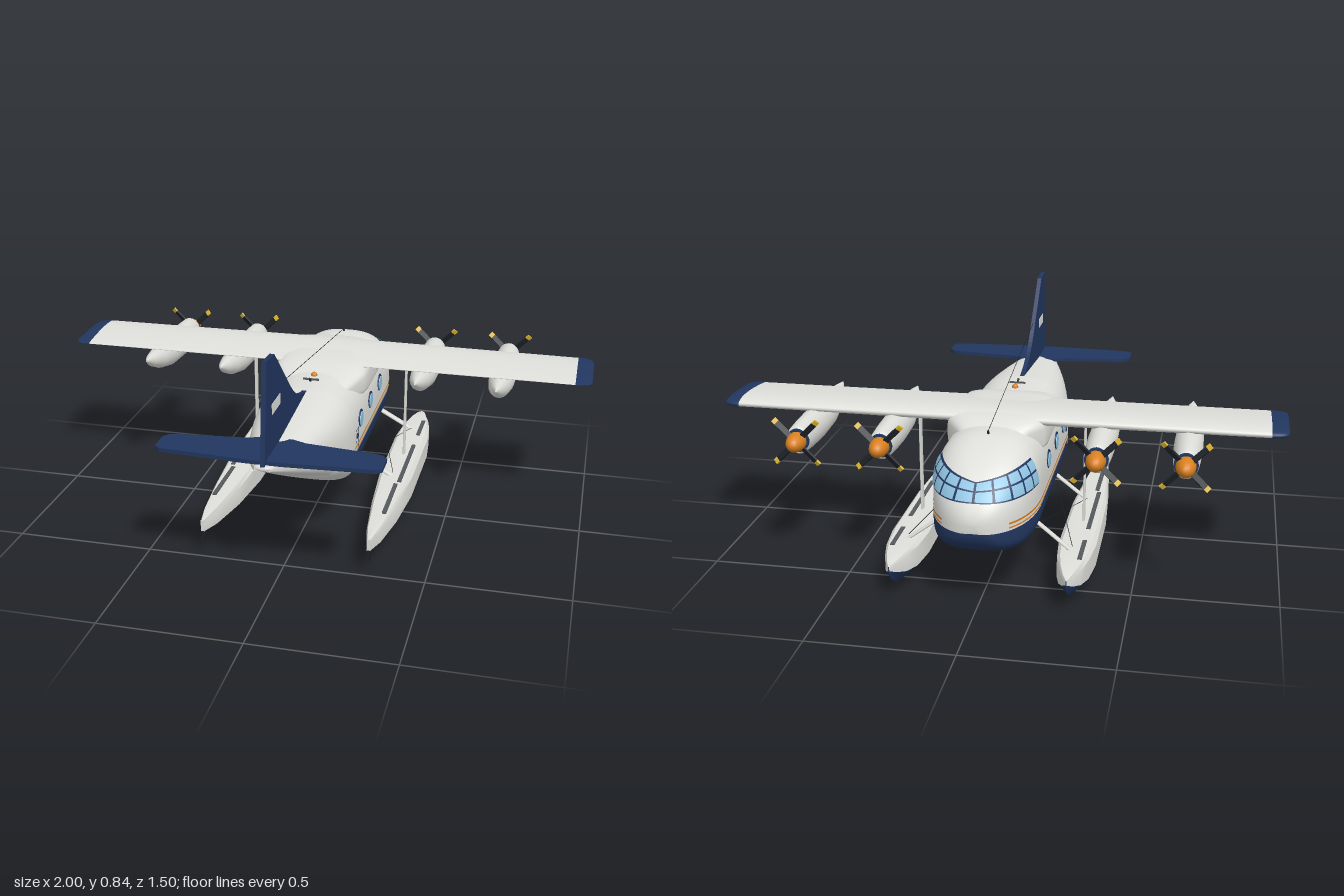
import * as THREE from 'three';
import { mergeVertices, toCreasedNormals } from 'three/addons/utils/BufferGeometryUtils.js';

const mat = (name, color) => new THREE.MeshStandardMaterial({ name, color, side: THREE.DoubleSide });
const M = {
  white: mat('off white', 0xdededa), navy: mat('navy', 0x22365f), orange: mat('orange', 0xd9801f),
  glass: mat('window blue', 0x8fc3e0), black: mat('black', 0x1c2026), yellow: mat('yellow', 0xe0b830),
  grey: mat('deck grey', 0x55585c),
};
const lerp = (a, b, t) => a + (b - a) * t;
const clamp = THREE.MathUtils.clamp;

// Surface from fn(u, v) -> [x, y, z], u and v in 0..1
function grid(fn, nu, nv, crease) {
  const pos = [], idx = [];
  for (let i = 0; i <= nu; i++) for (let j = 0; j <= nv; j++) pos.push(...fn(i / nu, j / nv));
  for (let i = 0; i < nu; i++) for (let j = 0; j < nv; j++) {
    const a = i * (nv + 1) + j, b = a + nv + 1;
    idx.push(a, b, a + 1, b, b + 1, a + 1);
  }
  let g = new THREE.BufferGeometry();
  g.setAttribute('position', new THREE.Float32BufferAttribute(pos, 3));
  g.setIndex(idx);
  g = mergeVertices(g, 1e-5);
  if (crease) return toCreasedNormals(g, crease);
  g.computeVertexNormals();
  return g;
}
// Rings along z; stations are [z, centreY, radiusX, radiusY], power < 1 squares the section
function loft(stations, power = 1, seg = 24) {
  const n = stations.length - 1, p = (c) => Math.sign(c) * Math.abs(c) ** power;
  return grid((u, v) => {
    const [z, yc, rx, ry] = stations[Math.round(u * n)], a = v * Math.PI * 2;
    return [rx * p(Math.cos(a)), yc - ry * p(Math.sin(a)), z];
  }, n, seg);
}
function add(parent, name, geo, material, x = 0, y = 0, z = 0) {
  const m = new THREE.Mesh(geo, material);
  m.name = name;
  m.position.set(x, y, z);
  parent.add(m);
  return m;
}
function rod(parent, name, a, b, r, material, flat = 1) {
  const A = new THREE.Vector3(...a), B = new THREE.Vector3(...b), d = B.clone().sub(A);
  const m = add(parent, name, new THREE.CylinderGeometry(r, r, d.length(), 8), material);
  m.position.copy(A).lerp(B, 0.5);
  m.quaternion.setFromUnitVectors(new THREE.Vector3(0, 1, 0), d.normalize());
  m.scale.z = flat;
  return m;
}

// Fuselage outline: bottom, top and half width at z, then half width at height y
const round = (u, p) => (1 - (1 - clamp(u, 0, 1)) ** p) ** (1 / p);
function station(z) {
  const s = clamp((z - 0.18) / 0.57, 0, 1), d = z + 0.75;
  return {
    yb: 0.33 - 0.14 * round(d / 0.22, 2.5) + 0.295 * s,
    yt: 0.33 + 0.218 * round(d / 0.3, 1.65) - 0.046 * s,
    hw: 0.182 * round(d / 0.3, 2.2) * (1 - 0.85 * s ** 1.5),
  };
}
function section(t) {
  if (t < 0.3) return (1 - ((0.3 - t) / 0.3) ** 3.2) ** (1 / 3.2);
  if (t > 0.45) return (1 - ((t - 0.45) / 0.55) ** 2.7) ** (1 / 2.7);
  return 1;
}
function halfWidth(z, y) {
  const { yb, yt, hw } = station(z);
  return y <= yb || y >= yt ? 0 : hw * section((y - yb) / (yt - yb));
}
function hull(z0, z1, split, upper, ease, n) {
  return grid((u, v) => {
    const z = lerp(z0, z1, u ** ease), { yb, yt, hw } = station(z), h = yt - yb;
    const ts = h < 1e-6 ? 0.5 : clamp((split - yb) / h, 0, 1);
    const k = v * 2 - 1, e = Math.abs(k) ** 2.2;
    const t = upper ? 1 - (1 - ts) * e : ts * e;
    return [(upper ? 1 : -1) * Math.sign(k) * hw * section(clamp(t, 0, 1)), yb + h * t, z];
  }, n, 40);
}

function fuselage(root) {
  const g = new THREE.Group();
  g.name = 'fuselage';
  root.add(g);
  add(g, 'upperBody', hull(-0.75, 0.18, 0.3, true, 2, 48), M.white);
  add(g, 'belly', hull(-0.75, 0.18, 0.3, false, 2, 48), M.navy);
  add(g, 'tailConeTop', hull(0.18, 0.75, 0.3, true, 1, 16), M.white);
  add(g, 'tailConeBottom', hull(0.18, 0.75, 0.3, false, 1, 16), M.white);
  add(g, 'tailEnd', new THREE.SphereGeometry(1, 12, 8), M.white, 0, 0.493, 0.745).scale.set(0.025, 0.009, 0.006);
  add(g, 'wingFairing', loft([[-0.43, 0.5, 0.09, 0.02], [-0.39, 0.5, 0.13, 0.054], [-0.34, 0.5, 0.172, 0.07],
    [-0.29, 0.5, 0.18, 0.074], [-0.1, 0.5, 0.18, 0.072], [-0.03, 0.5, 0.175, 0.06], [0.08, 0.49, 0.13, 0.04]], 0.5, 40), M.white);

  // Wrap-around cockpit glazing
  const glaze = (a0, a1, r0, r1, off) => grid((u, v) => {
    const a = lerp(a0, a1, u), y = 0.397 + lerp(r0, r1, v) * (0.055 + 0.033 * Math.abs(Math.sin(a)));
    let lo = 0, hi = 0.4;
    for (let i = 0; i < 22; i++) {
      const r = (lo + hi) / 2;
      if (Math.abs(r * Math.sin(a)) < halfWidth(-0.5 - r * Math.cos(a), y)) lo = r; else hi = r;
    }
    return [(lo + off) * Math.sin(a), y + off * 0.5, -0.5 - (lo + off) * Math.cos(a)];
  }, Math.max(4, Math.ceil((a1 - a0) * 16)), 6);
  const end = 1.5, panels = 10, step = 2 * end / panels;
  add(g, 'cockpitFrame', glaze(-end, end, 0, 1, 0.003), M.navy);
  for (let i = 0; i < panels; i++) for (const [r0, r1] of [[0.06, 0.52], [0.59, 0.94]])
    add(g, 'cockpitPane', glaze(-end + i * step + 0.02, -end + (i + 1) * step - 0.02, r0, r1, 0.006), M.glass);

  for (const s of [1, -1]) {
    const strip = (z0, z1, y0, y1, off) => grid((u, v) => {
      const z = lerp(z0, z1, u), y = lerp(y0, y1, v);
      return [s * (halfWidth(z, y) + off), y, z];
    }, 40, 2);
    add(g, 'stripe', strip(0.18, -0.7, 0.308, 0.313, 0.002), M.orange);
    add(g, 'stripe', strip(0.18, -0.7, 0.322, 0.329, 0.002), M.orange);
    // Cabin portholes
    const disc = (name, z, y, r, off, m) =>
      add(g, name, new THREE.CylinderGeometry(r, r, 0.004, 28), m, s * (halfWidth(z, y) + off), y, z).rotation.z = Math.PI / 2;
    for (const z of [0.065, -0.115, -0.3]) {
      disc('portholeRim', z, 0.405, 0.033, 0.001, M.navy);
      disc('portholeGlass', z, 0.402, 0.027, 0.004, M.glass);
    }
    // Door outline and its small window
    for (const [z0, z1, y0, y1] of [[0.11, 0.113, 0.3, 0.39], [0.157, 0.16, 0.3, 0.39], [0.11, 0.16, 0.387, 0.39]])
      add(g, 'doorEdge', strip(z0, z1, y0, y1, 0.002), M.navy);
    disc('doorWindow', 0.135, 0.362, 0.01, 0.001, M.navy);
  }
  add(g, 'beacon', new THREE.SphereGeometry(0.012, 12, 8), M.orange, 0, 0.55, 0.045);
  add(g, 'roofAerial', new THREE.BoxGeometry(0.06, 0.006, 0.006), M.grey, 0, 0.552, 0.095);
  rod(g, 'roofMast', [0, 0.54, 0.1], [0, 0.562, 0.115], 0.004, M.black);
  rod(g, 'frontMast', [0, 0.53, -0.46], [0, 0.558, -0.475], 0.004, M.black);
  rod(g, 'aerialWire', [0, 0.557, -0.475], [0, 0.69, 0.46], 0.001, M.black);
}

function tail(root) {
  const fin = new THREE.Shape();
  fin.moveTo(0.75, 0.49);
  fin.lineTo(0.71, 0.845);
  fin.lineTo(0.615, 0.838);
  fin.lineTo(0.41, 0.645);
  fin.quadraticCurveTo(0.32, 0.56, 0.16, 0.542);
  fin.lineTo(0.3, 0.5);
  const fg = new THREE.ExtrudeGeometry(fin, { depth: 0.016, bevelEnabled: false, curveSegments: 10 });
  add(root, 'fin', fg.translate(0, 0, -0.008).rotateY(-Math.PI / 2), M.navy);
  add(root, 'finPanel', new THREE.BoxGeometry(0.019, 0.037, 0.1), M.white, 0, 0.662, 0.605);
  const half = [[0.05, 0.55], [0.1, 0.57], [0.33, 0.595], [0.365, 0.605], [0.38, 0.625], [0.38, 0.7], [0.36, 0.715], [0.06, 0.735]];
  const outline = [...half, ...half.map(([x, z]) => [-x, z]).reverse()].map((p) => new THREE.Vector2(...p));
  const tg = new THREE.ExtrudeGeometry(new THREE.Shape(outline), { depth: 0.014, bevelEnabled: false });
  add(root, 'tailplane', tg.rotateX(Math.PI / 2), M.navy, 0, 0.516, 0);
}

function wingHalf(g) {
  // Airfoil loop at span x, shrunk by c (chord) and h (thickness)
  const foil = (x, v, c, h) => {
    const a = v * Math.PI * 2, k = Math.cos(a), thick = lerp(0.024, 0.017, x);
    return [x, 0.552 + h * thick * Math.sin(a) * (1 - 0.55 * k), -0.207 + 0.135 * c * k];
  };
  add(g, 'wing', grid((u, v) => foil(u * 0.94, v, 1, 1), 6, 32), M.white);
  add(g, 'wingTip', grid((u, v) => {
    const a = u * Math.PI / 2, c = Math.cos(a);
    return foil(0.94 + 0.06 * Math.sin(a), v, 0.6 + 0.43 * Math.sqrt(Math.max(c, 0)), Math.max(c, 0) ** 0.6);
  }, 10, 32), M.navy);
}

function engine(parent, x) {
  const g = new THREE.Group();
  g.name = 'engine';
  g.position.x = x;
  parent.add(g);
  add(g, 'nacelle', loft([[-0.5, 0.49, 0.038, 0.044], [-0.49, 0.49, 0.043, 0.052], [-0.42, 0.489, 0.047, 0.057],
    [-0.32, 0.489, 0.05, 0.058], [-0.2, 0.492, 0.048, 0.053], [-0.1, 0.506, 0.038, 0.042],
    [-0.03, 0.522, 0.022, 0.026], [0.02, 0.537, 0.003, 0.005]]), M.white);
  add(g, 'cowlRing', new THREE.CylinderGeometry(0.041, 0.041, 0.016, 24), M.navy, 0, 0.49, -0.497).rotation.x = Math.PI / 2;
  add(g, 'spinner', new THREE.SphereGeometry(1, 20, 14), M.orange, 0, 0.49, -0.51).scale.set(0.034, 0.034, 0.06);
  for (let i = 0; i < 4; i++) {
    const b = new THREE.Group();
    b.name = 'propellerBlade';
    b.position.set(0, 0.49, -0.514);
    b.rotation.z = Math.PI / 4 + i * Math.PI / 2;
    g.add(b);
    add(b, 'blade', new THREE.BoxGeometry(0.02, 0.07, 0.007), M.black, 0, 0.06, 0).rotation.y = 0.5;
    add(b, 'bladeTip', new THREE.BoxGeometry(0.02, 0.016, 0.007), M.yellow, 0, 0.103, 0).rotation.y = 0.5;
  }
}

function floatHalf(g) {
  // z, half width, keel height, chine height, deck height
  const S = [[-0.69, 0.002, 0.11, 0.115, 0.132], [-0.66, 0.018, 0.07, 0.098, 0.14], [-0.6, 0.038, 0.03, 0.075, 0.145],
    [-0.52, 0.055, 0.007, 0.06, 0.147], [-0.4, 0.066, 0.002, 0.055, 0.147], [-0.04, 0.063, 0.002, 0.052, 0.147],
    [-0.036, 0.063, 0.028, 0.052, 0.147], [0.2, 0.047, 0.05, 0.063, 0.145], [0.4, 0.025, 0.075, 0.083, 0.143], [0.49, 0.006, 0.09, 0.096, 0.14]];
  const n = S.length - 1;
  const shell = (ring) => grid((u, v) => {
    const [z, w, k, c, d] = S[Math.round(u * n)], pts = ring(w, k, c, d);
    const [x, y] = pts[Math.round(v * (pts.length - 1))];
    return [0.3 + x, y, z];
  }, n, ring(1, 1, 1, 1).length - 1, 0.6);
  add(g, 'floatTop', shell((w, k, c, d) => [[-w, c], [-w, d - 0.016], [-w * 0.8, d - 0.002], [0, d], [w * 0.8, d - 0.002], [w, d - 0.016], [w, c]]), M.white);
  add(g, 'floatHull', shell((w, k, c) => [[w, c], [0, k], [-w, c]]), M.navy);
  add(g, 'floatStern', new THREE.BoxGeometry(0.012, 0.045, 0.004), M.white, 0.3, 0.117, 0.49);
  add(g, 'floatRudder', new THREE.BoxGeometry(0.01, 0.038, 0.022), M.black, 0.3, 0.078, 0.482);
  // Deck walkways
  for (const [z, len] of [[-0.475, 0.15], [-0.13, 0.34], [0.18, 0.24]])
    add(g, 'walkway', new THREE.BoxGeometry(0.015, 0.006, len), M.grey, z > 0 ? 0.317 : 0.326, 0.146, z);
  // Struts and bracing wires
  rod(g, 'wingStrut', [0.3, 0.14, -0.22], [0.3, 0.54, -0.22], 0.005, M.white, 3.6);
  for (const [z0, z1] of [[-0.475, -0.445], [-0.02, 0.005]])
    rod(g, 'floatStrut', [0.29, 0.14, z0], [0.165, 0.225, z1], 0.006, M.white, 2.4);
  rod(g, 'braceWire', [0.29, 0.15, -0.03], [0.17, 0.21, -0.42], 0.001, M.black);
  rod(g, 'braceWire', [0.29, 0.15, -0.46], [0.17, 0.21, -0.02], 0.001, M.black);
}

export function createModel() {
  const root = new THREE.Group();
  root.name = 'floatplane';
  fuselage(root);
  tail(root);
  for (const s of [1, -1]) {
    const side = new THREE.Group();
    side.name = s > 0 ? 'leftSide' : 'rightSide';
    side.scale.x = s;
    root.add(side);
    wingHalf(side);
    engine(side, 0.37);
    engine(side, 0.665);
    floatHalf(side);
  }
  return root;
}
